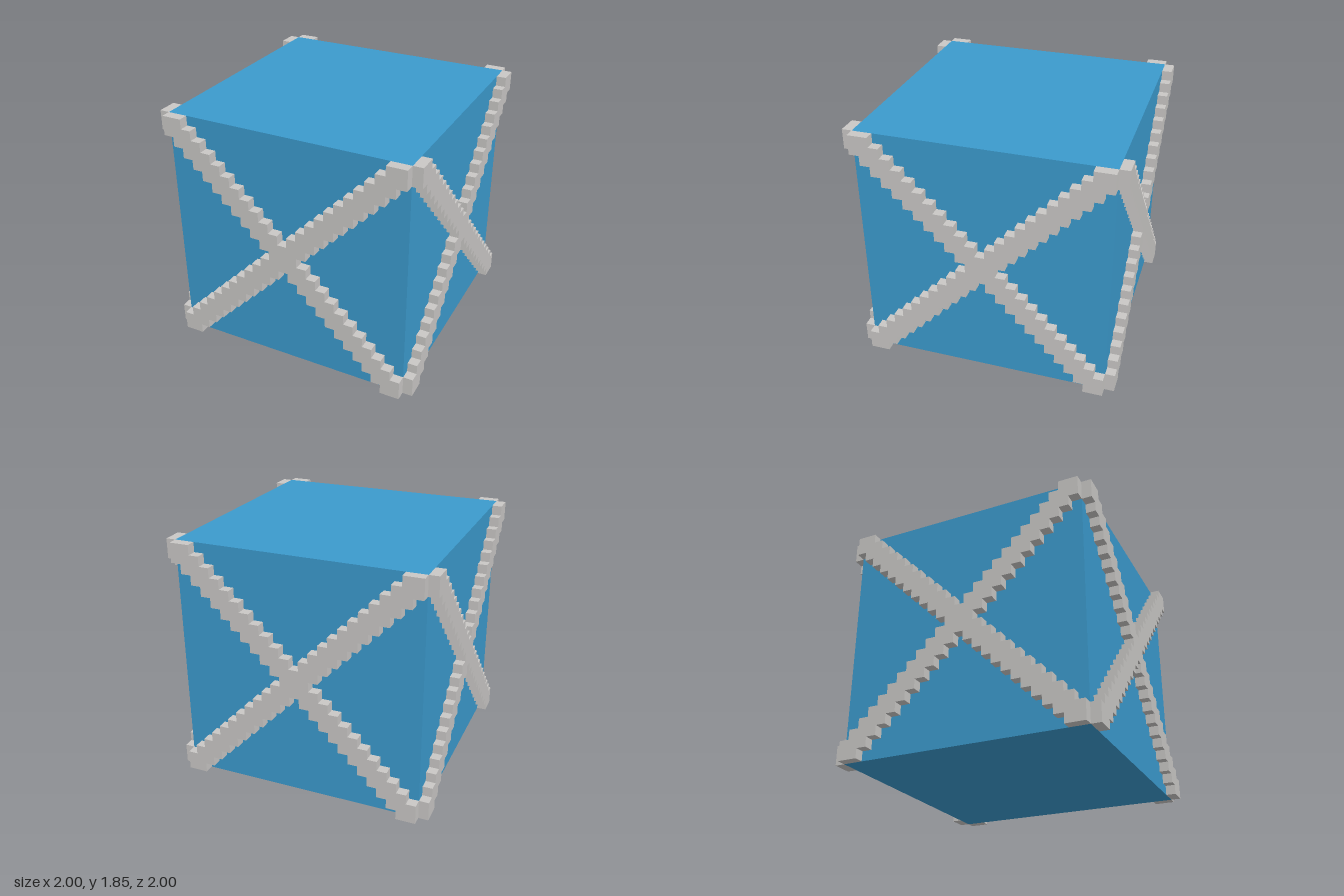
import * as THREE from 'three';

const CELL = 2 / 27;        // stair step size
const HALF = 12.5 * CELL;   // half the cube's edge

// Stepped X outline: one quarter, turned four times
function crossShape() {
  const steps = [];
  for (let k = 0; k <= 11; k++) steps.push([k - 0.5, k + 1.5], [k + 0.5, k + 1.5]);
  const mirrored = steps.slice(2).map(([x, y]) => [y, x]).reverse();
  let quarter = [...steps, [12.5, 12.5], ...mirrored];
  const points = [];
  for (let q = 0; q < 4; q++) {
    points.push(...quarter.map(([x, y]) => new THREE.Vector2(x * CELL, y * CELL)));
    quarter = quarter.map(([x, y]) => [y, -x]);
  }
  return new THREE.Shape(points);
}

export function createModel() {
  const blue = new THREE.MeshStandardMaterial({ color: 0x3b9acd });
  blue.name = 'blue';
  const grey = new THREE.MeshStandardMaterial({ color: 0xc9c7c5 });
  grey.name = 'lightGrey';

  const model = new THREE.Group();
  model.name = 'crossBracedCube';

  // Solid cube
  const cube = new THREE.Mesh(new THREE.BoxGeometry(2 * HALF, 2 * HALF, 2 * HALF), blue);
  cube.name = 'cube';
  cube.position.y = HALF;
  model.add(cube);

  // One stepped cross on each of the four sides
  const geometry = new THREE.ExtrudeGeometry(crossShape(), { depth: CELL, bevelEnabled: false });
  geometry.translate(0, HALF, HALF);
  ['frontCross', 'leftCross', 'backCross', 'rightCross'].forEach((name, i) => {
    const cross = new THREE.Mesh(geometry, grey);
    cross.name = name;
    cross.rotation.y = i * Math.PI / 2;
    model.add(cross);
  });
  return model;
}
